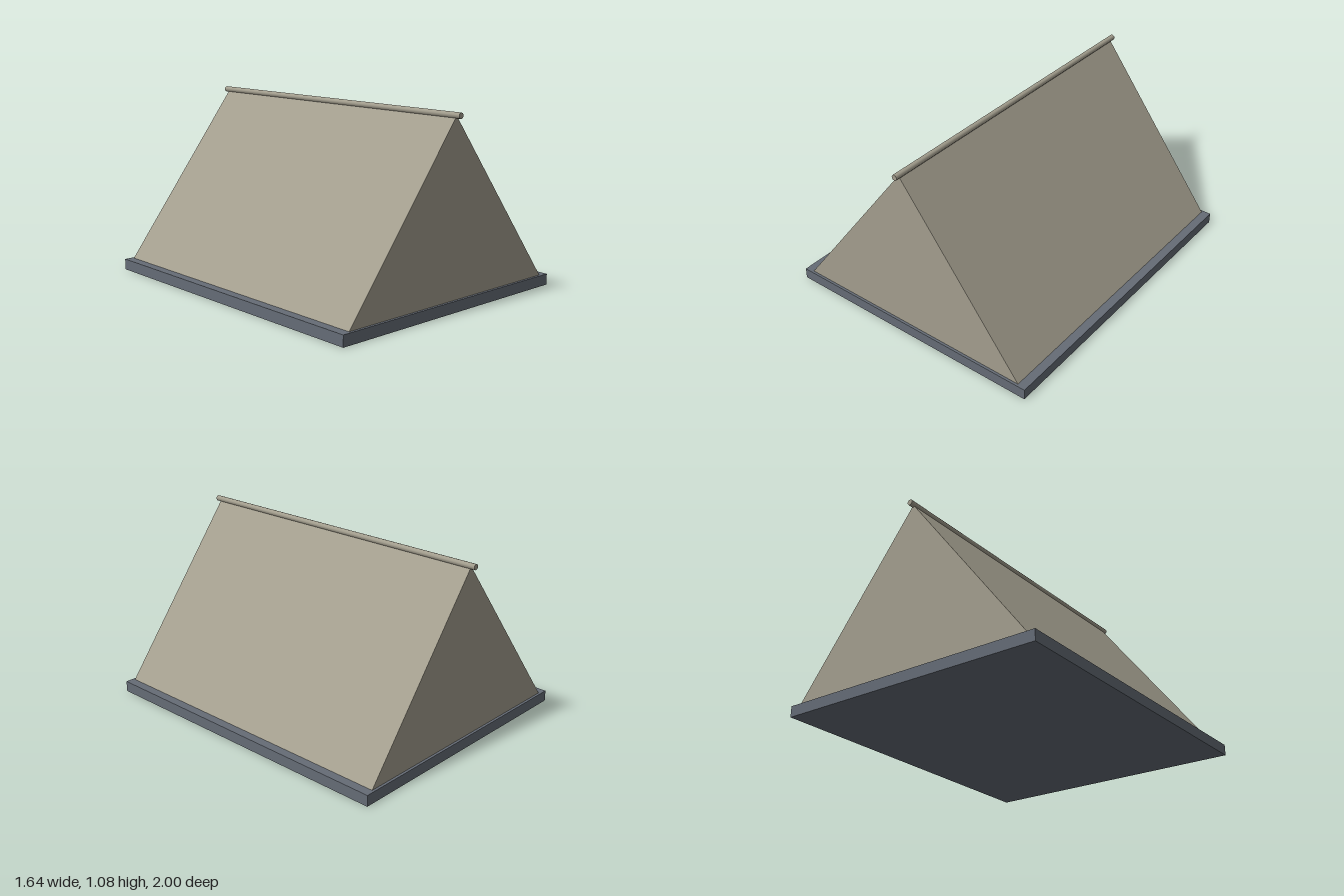
import * as THREE from 'three';

export function createModel() {
  const model = new THREE.Group();
  const canvas = new THREE.MeshStandardMaterial({ color: 0xa39e8e });
  canvas.name = 'canvas beige';
  const slate = new THREE.MeshStandardMaterial({ color: 0x656c76 });
  slate.name = 'slate grey';

  const add = (name, geometry, material, y = 0) => {
    const mesh = new THREE.Mesh(geometry, material);
    mesh.name = name;
    mesh.position.y = y;
    model.add(mesh);
  };

  // Flat ground slab
  add('groundSlab', new THREE.BoxGeometry(1.64, 0.065, 1.97), slate, 0.0325);

  // Triangular tent body, its foot sunk into the slab
  const profile = new THREE.Shape([
    new THREE.Vector2(-0.805, 0.015),
    new THREE.Vector2(0.805, 0.015),
    new THREE.Vector2(0, 1.062),
  ]);
  const body = new THREE.ExtrudeGeometry(profile, { depth: 1.94, bevelEnabled: false });
  body.translate(0, 0, -0.97);
  add('tentBody', body, canvas);

  // Ridge pole overhanging both gable ends
  const pole = new THREE.CylinderGeometry(0.017, 0.017, 2, 10);
  pole.rotateX(Math.PI / 2);
  add('ridgePole', pole, canvas, 1.065);

  return model;
}
